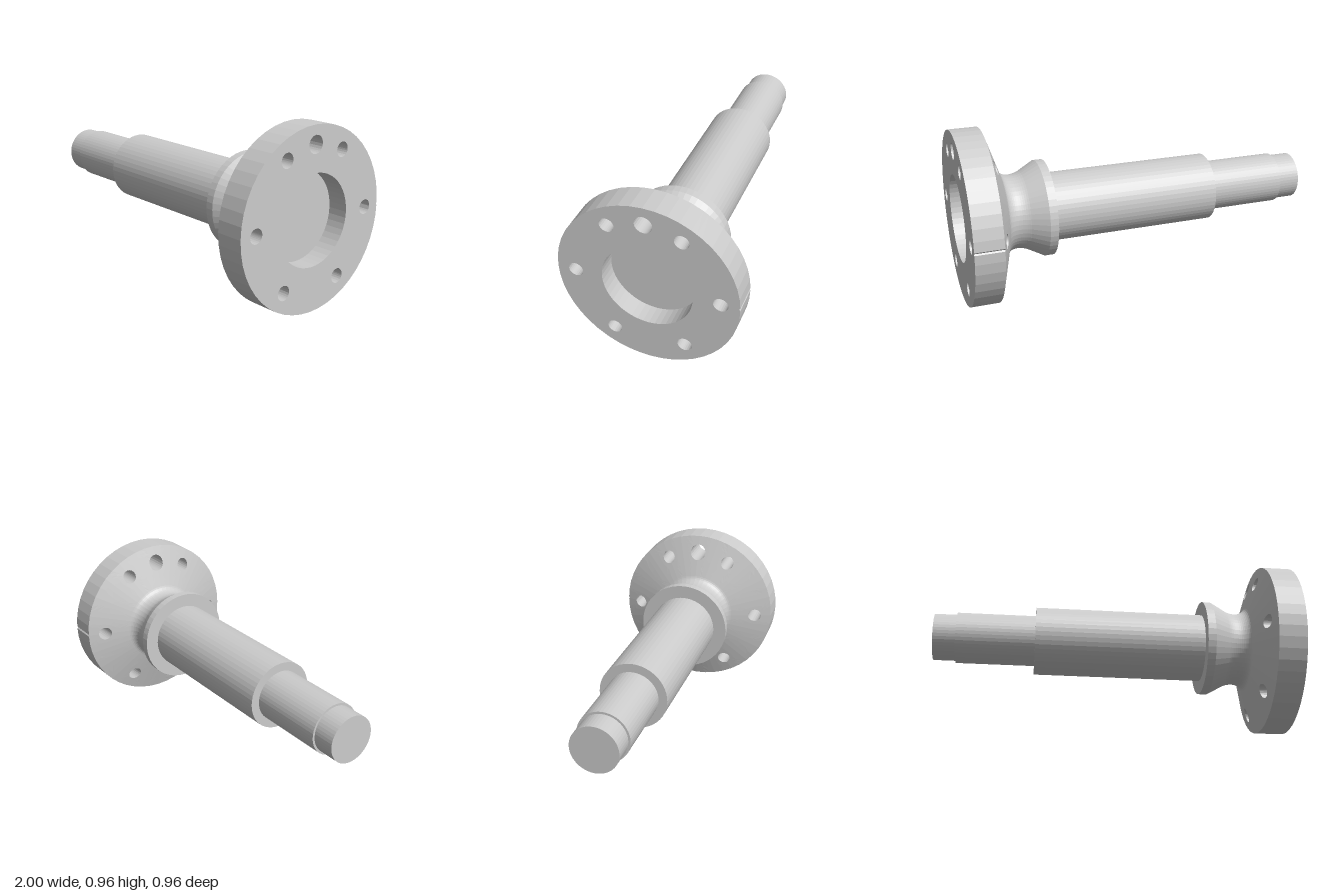
import * as THREE from 'three';

const RIM = 0.48, BORE = 0.24, HOLE_CIRCLE = 0.382;
const SIDES = 48, EDGE = 8, RINGS = 3;
const rad = THREE.MathUtils.degToRad;

// Scale that turns a circle into a regular polygon with SIDES facets
function facet(theta) {
  const step = (2 * Math.PI) / SIDES;
  const t = ((theta % step) + step) % step;
  return Math.cos(step / 2) / Math.cos(t - step / 2);
}

// x of the flange's conical back at a point of the flange plane
function coneX(u, v) {
  const r = Math.hypot(u, v) / facet(Math.atan2(v, u));
  return 0.765 + (0.08 * (r - BORE)) / (RIM - BORE);
}

// Turned surface around the x axis; profile points are (radius, x)
function turned(profile) {
  return new THREE.LatheGeometry(profile, SIDES).rotateZ(-Math.PI / 2);
}

// Outline of a 30 degree flange sector: outer edge, side, inner edge, side
function sectorOutline(notched) {
  const out = [];
  const add = (deg, r) => {
    const a = rad(deg), s = r * facet(a);
    out.push(new THREE.Vector2(s * Math.cos(a), s * Math.sin(a)));
  };
  for (let i = 0; i < EDGE; i++) {
    let deg = -15 + (30 * i) / EDGE, r = RIM;
    if (notched && Math.abs(i - EDGE / 2) === 1) deg = Math.sign(deg) * 0.9;
    if (notched && i === EDGE / 2) r -= 0.007;
    add(deg, r);
  }
  for (let i = 0; i < EDGE; i++) add(15, RIM + ((BORE - RIM) * i) / EDGE);
  for (let i = 0; i < EDGE; i++) add(15 - (30 * i) / EDGE, BORE);
  for (let i = 0; i < EDGE; i++) add(-15, BORE + ((RIM - BORE) * i) / EDGE);
  return out;
}

// Flange sector: loops run from the hole over the back, round the rim,
// and over the front to the hole again
function flangeSector(angle, holeRadius, notched) {
  const outline = sectorOutline(notched);
  const n = outline.length, rows = 2 * (RINGS + 1);
  const pos = [], index = [];
  for (let j = 0; j < rows; j++) {
    const back = j <= RINGS;
    const k = (back ? j : rows - 1 - j) / RINGS;
    for (const p of outline) {
      const phi = Math.atan2(p.y, p.x - HOLE_CIRCLE);
      const u = THREE.MathUtils.lerp(HOLE_CIRCLE + holeRadius * Math.cos(phi), p.x, k);
      const v = THREE.MathUtils.lerp(holeRadius * Math.sin(phi), p.y, k);
      pos.push(
        back ? coneX(u, v) : 1,
        u * Math.sin(angle) + v * Math.cos(angle),
        u * Math.cos(angle) - v * Math.sin(angle)
      );
    }
  }
  for (let j = 0; j < rows; j++) {
    if (j === rows - 1 && holeRadius === 0) continue; // no hole wall
    for (let i = 0; i < n; i++) {
      if (j === RINGS && i >= EDGE) continue; // rim only on the outer edge
      const j2 = (j + 1) % rows, i2 = (i + 1) % n;
      const a = j * n + i, b = j2 * n + i, c = j2 * n + i2, d = j * n + i2;
      index.push(a, b, c, a, c, d);
    }
  }
  const geo = new THREE.BufferGeometry();
  geo.setAttribute('position', new THREE.Float32BufferAttribute(pos, 3));
  geo.setIndex(index);
  geo.computeVertexNormals();
  return geo;
}

export function createModel() {
  const group = new THREE.Group();
  const material = new THREE.MeshStandardMaterial({ color: 0xcccccc, flatShading: true });
  const add = (name, geo, parent) => {
    const mesh = new THREE.Mesh(geo, material);
    mesh.name = name;
    parent.add(mesh);
  };
  const axle = new THREE.Group();
  axle.name = 'axle';
  axle.position.y = RIM;
  group.add(axle);

  // Stepped shaft with end cap
  const V = (r, x) => new THREE.Vector2(r, x);
  add('steppedShaft', turned([
    V(0, -1), V(0.13, -1), V(0.13, -0.875), V(0.142, -0.875), V(0.142, -0.437),
    V(0.19, -0.437), V(0.19, 0.51)
  ]), axle);

  // Collar and waisted neck
  const neck = new THREE.Path();
  neck.moveTo(0.19, 0.51);
  neck.lineTo(0.266, 0.51);
  neck.lineTo(0.266, 0.555);
  neck.lineTo(0.222, 0.635);
  neck.bezierCurveTo(0.195, 0.68, 0.195, 0.75, BORE, 0.765);
  add('collarAndNeck', turned(neck.getPoints(14)), axle);

  // Blind recess in the flange face
  add('recess', turned([V(BORE, 1), V(BORE, 0.89), V(0, 0.89)]), axle);

  // Flange with six bolt holes, one larger hole on top and a notch in the rim
  const flange = new THREE.Group();
  flange.name = 'flange';
  axle.add(flange);
  for (let deg = 0; deg < 360; deg += 30) {
    const hole = deg === 90 ? 0.047 : deg % 60 === 0 ? 0.039 : 0;
    add('flangeSector', flangeSector(rad(deg), hole, deg === 180), flange);
  }
  return group;
}
